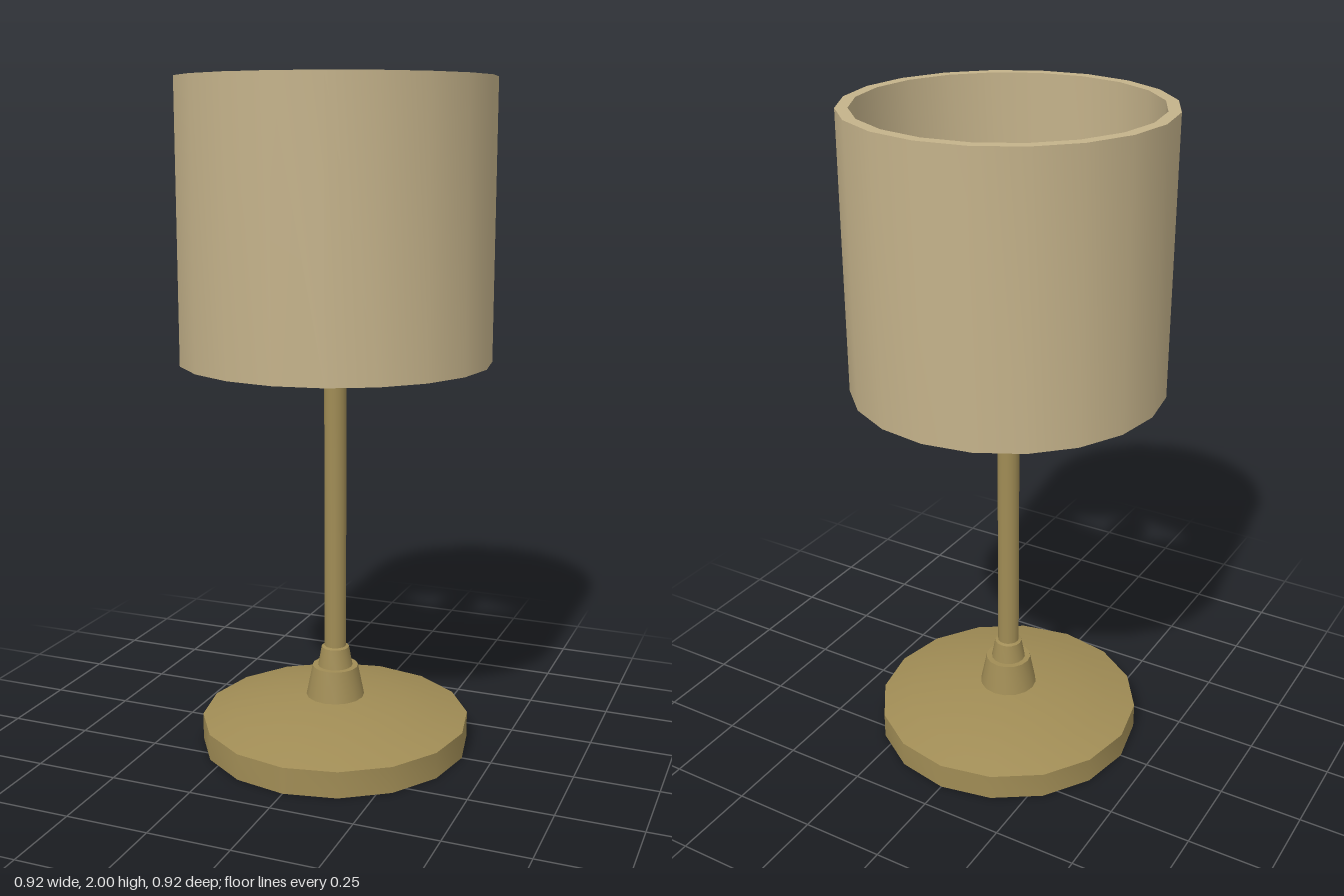
import * as THREE from 'three';
import { toCreasedNormals } from 'three/addons/utils/BufferGeometryUtils.js';

const brass = new THREE.MeshStandardMaterial({ color: 0xa08c55 });
const fabric = new THREE.MeshStandardMaterial({ color: 0xc4b28a });
const grey = new THREE.MeshStandardMaterial({ color: 0xcccccc });

// Turned part from [radius, height] points, smooth around and sharp at its rims
function turned(name, profile, sides, material) {
  const points = profile.map(([r, y]) => new THREE.Vector2(r, y));
  const geometry = toCreasedNormals(new THREE.LatheGeometry(points, sides), 0.5);
  const mesh = new THREE.Mesh(geometry, material);
  mesh.name = name;
  return mesh;
}

export function createModel() {
  const lamp = new THREE.Group();
  lamp.name = 'tableLamp';

  // Weighted foot with a gently domed top
  lamp.add(turned('base', [
    [0, 0], [0.41, 0], [0.41, 0.08], [0.32, 0.106], [0.22, 0.127], [0.09, 0.145], [0, 0.145],
  ], 16, brass));

  // Stepped collar where the stem meets the foot
  lamp.add(turned('collar', [
    [0.09, 0.14], [0.07, 0.24], [0.053, 0.24], [0.042, 0.3], [0.03, 0.305],
  ], 16, brass));

  // Stem up into the shade
  lamp.add(turned('stem', [[0.033, 0.14], [0.033, 1.52], [0, 1.52]], 16, brass));

  // Bulb on top of the stem
  const bulb = new THREE.Mesh(new THREE.SphereGeometry(0.078, 20, 14), grey);
  bulb.name = 'bulb';
  bulb.position.y = 1.58;
  lamp.add(bulb);

  // Open drum shade with a thick wall
  lamp.add(turned('shade', [
    [0.46, 1.19], [0.46, 2], [0.425, 2], [0.425, 1.19], [0.46, 1.19],
  ], 20, fabric));

  return lamp;
}
